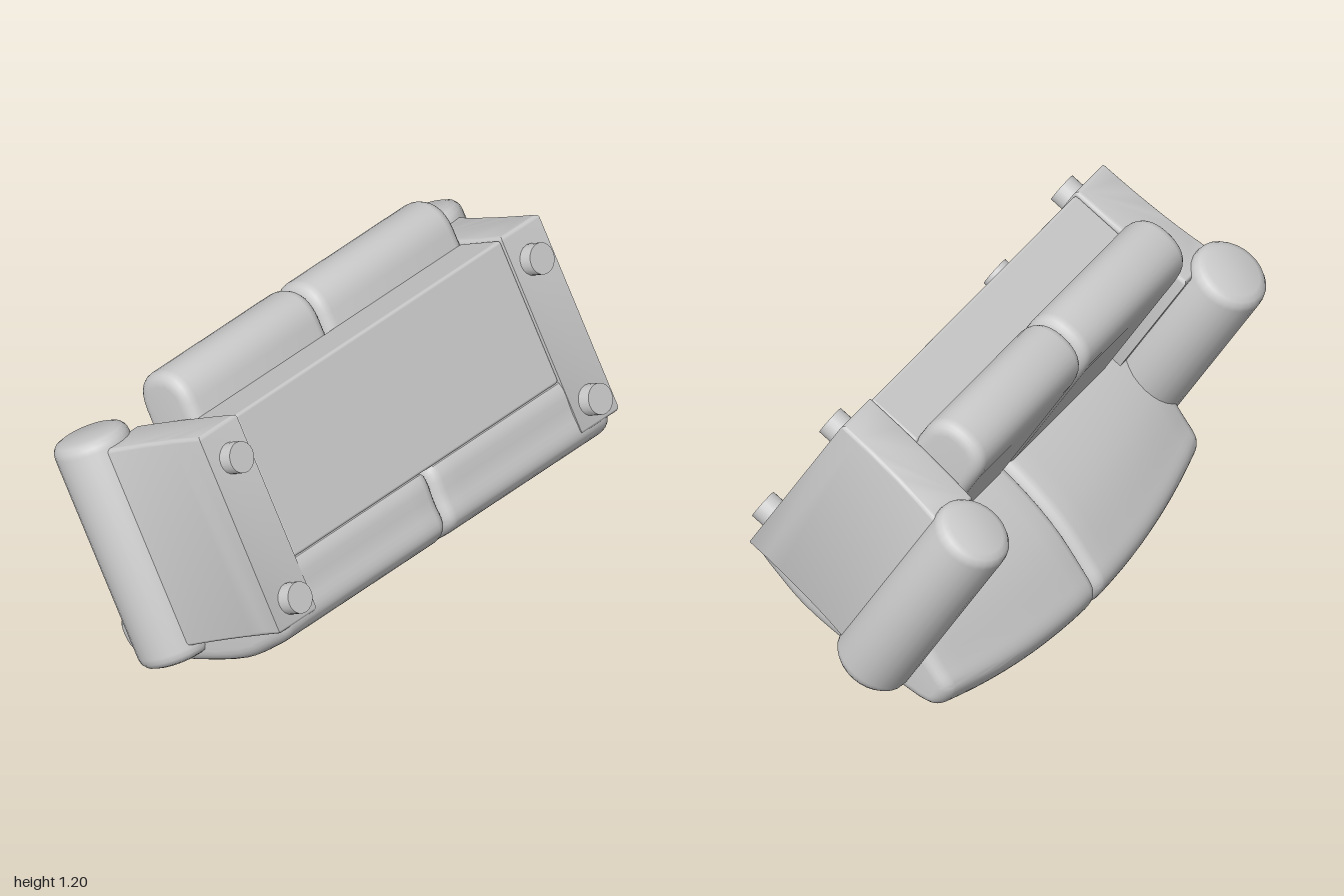
import * as THREE from 'three';
import { toCreasedNormals } from 'three/addons/utils/BufferGeometryUtils.js';
import { RoundedBoxGeometry } from 'three/addons/geometries/RoundedBoxGeometry.js';

export function createModel() {
  const fabric = new THREE.MeshStandardMaterial({ color: 0xcccccc });
  fabric.name = 'light grey fabric';

  // The sofa is built upright, then tipped over onto its back.
  const sofa = new THREE.Group();
  sofa.name = 'sofa';
  const add = (name, geometry) => {
    const mesh = new THREE.Mesh(geometry, fabric);
    mesh.name = name;
    sofa.add(mesh);
    return mesh;
  };

  // Bevelled extrusion whose outer size is exactly depth, starting at z = 0
  const bevelled = (shape, depth, bevel, steps = 1) => {
    const g = new THREE.ExtrudeGeometry(shape, {
      depth: depth - 2 * bevel, steps, curveSegments: 8,
      bevelEnabled: true, bevelThickness: bevel, bevelSize: bevel,
      bevelOffset: -bevel, bevelSegments: 5,
    });
    return g.translate(0, 0, bevel);
  };

  // Side profile of a back cushion as [z, y]
  const backCurve = new THREE.CatmullRomCurve3([
    [0.42, -0.685], [0.3, -0.69], [0.22, -0.69], [0.182, -0.66], [0.142, -0.54],
    [0.107, -0.37], [0.106, -0.07], [0.122, 0.12], [0.137, 0.23], [0.16, 0.272],
    [0.205, 0.29], [0.275, 0.29], [0.31, 0.268], [0.345, 0.2],
    [0.417, 0.01], [0.455, -0.25], [0.44, -0.55],
  ].map(([z, y]) => new THREE.Vector3(-z, y, 0)), true);
  const backShape = new THREE.Shape(
    backCurve.getPoints(68).slice(0, -1).map(p => new THREE.Vector2(p.x, p.y)));

  // Side profile of a seat cushion, with a round front edge
  const seatShape = new THREE.Shape();
  seatShape.moveTo(-0.36, -0.485);
  seatShape.lineTo(-0.36, -0.232);
  seatShape.lineTo(-1.02, -0.232);
  seatShape.bezierCurveTo(-1.12, -0.232, -1.155, -0.29, -1.155, -0.365);
  seatShape.bezierCurveTo(-1.155, -0.445, -1.1, -0.485, -1.03, -0.485);
  seatShape.closePath();

  // Cylindrical armrest roll with rounded rims
  const rollProfile = [
    [0, 0.166], [0.1, 0.169], [0.122, 0.178], [0.134, 0.195], [0.137, 0.215],
    [0.137, 0.985], [0.134, 1.005], [0.122, 1.021], [0.1, 1.03], [0, 1.032],
  ].map(([r, z]) => new THREE.Vector2(r, z));

  for (const s of [1, -1]) {
    const side = s > 0 ? 'left' : 'right';

    // Back cushion, its top edge and rear bowed in towards the arms
    const back = bevelled(backShape, 0.849, 0.045, 10).rotateY(Math.PI / 2)
      .translate(s > 0 ? 0.001 : -0.85, 0, 0);
    const p = back.attributes.position;
    for (let i = 0; i < p.count; i++) {
      const rise = THREE.MathUtils.clamp((p.getY(i) + 0.69) / 0.98, 0, 1);
      const bow = rise * p.getX(i) ** 2;
      const rear = THREE.MathUtils.clamp((0.35 - p.getZ(i)) / 0.2, 0, 1);
      p.setY(i, p.getY(i) - 0.17 * bow);
      p.setZ(i, p.getZ(i) + 0.055 * bow * rear);
    }
    add(side + 'BackCushion', toCreasedNormals(back, 0.6));

    // Seat cushion
    const seat = bevelled(seatShape, 0.697, 0.045).rotateY(Math.PI / 2)
      .translate(s > 0 ? 0.001 : -0.698, 0, 0);
    add(side + 'SeatCushion', toCreasedNormals(seat, 0.6));

    // Arm panel flaring outwards under the roll
    const armShape = new THREE.Shape();
    armShape.moveTo(s * 0.687, -0.698);
    armShape.lineTo(s * 0.879, -0.698);
    armShape.quadraticCurveTo(s * 0.882, -0.4, s * 0.925, -0.2);
    armShape.lineTo(s * 0.715, -0.2);
    armShape.quadraticCurveTo(s * 0.69, -0.4, s * 0.687, -0.698);
    add(side + 'ArmPanel',
      toCreasedNormals(bevelled(armShape, 0.762, 0.016).translate(0, 0, 0.22), 0.6));

    // Arm roll
    const roll = new THREE.LatheGeometry(rollProfile, 28).rotateX(Math.PI / 2).scale(1, 1.04, 1);
    add(side + 'ArmRoll', toCreasedNormals(roll, 0.6)).position.set(s * 0.863, -0.112, 0);

    // Feet
    for (const [end, z] of [['Front', 0.853], ['Back', 0.31]]) {
      add(side + end + 'Foot', new THREE.CylinderGeometry(0.056, 0.056, 0.08, 20))
        .position.set(s * 0.778, -0.712, z);
    }
  }

  // Base between the arms
  add('base', new RoundedBoxGeometry(1.376, 0.215, 0.55, 3, 0.012)).position.set(0, -0.583, 0.698);

  sofa.rotation.x = -2 * Math.PI / 3;
  const model = new THREE.Group();
  model.name = 'tippedSofa';
  model.add(sofa);

  // Rest the lowest point on the ground
  model.updateMatrixWorld(true);
  sofa.position.y = -new THREE.Box3().setFromObject(model, true).min.y;
  return model;
}
